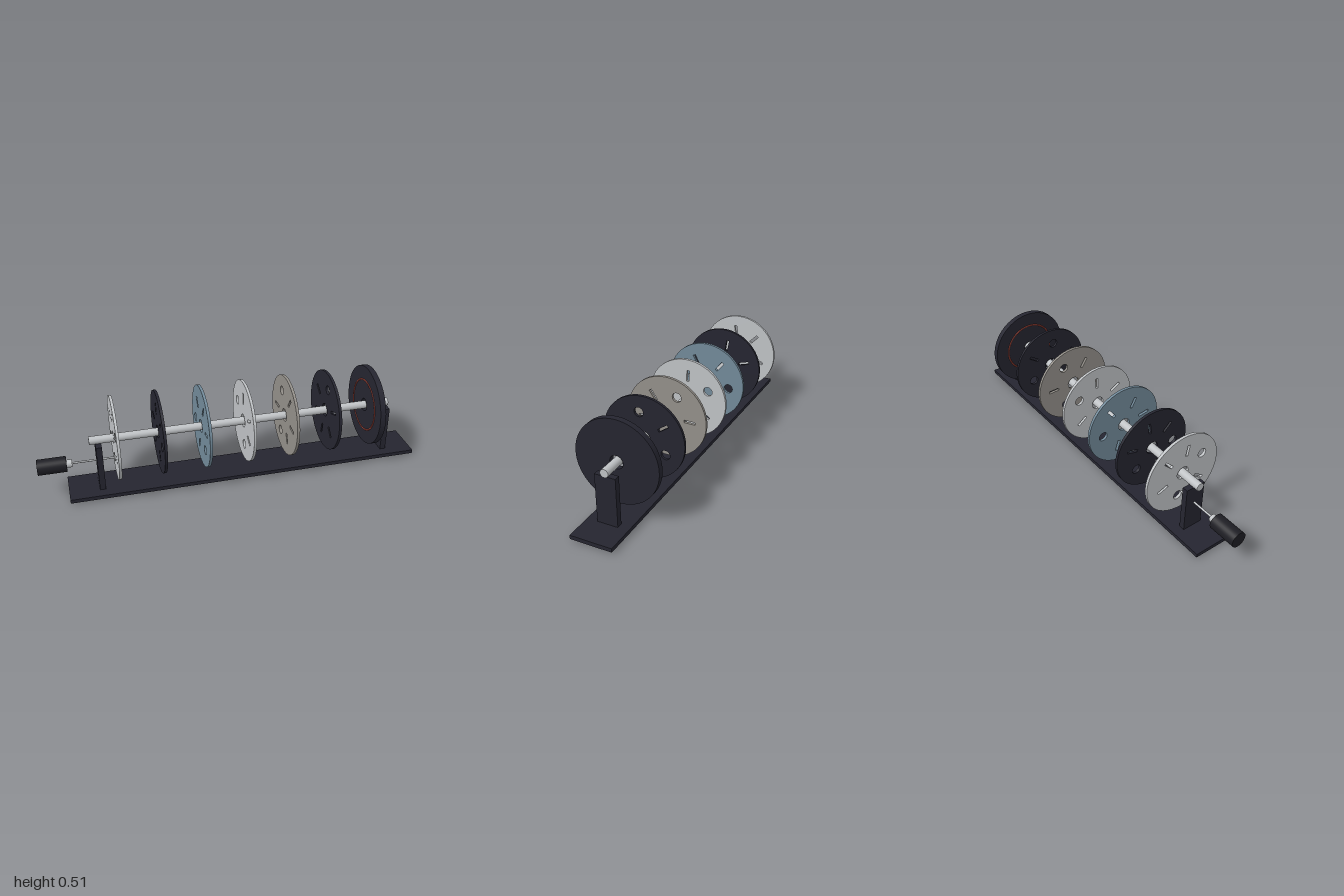
import * as THREE from 'three';

const AXLE_Y = 0.297, DISC_R = 0.213;

function mat(name, color) {
  const m = new THREE.MeshStandardMaterial({ color });
  m.name = name;
  return m;
}

// Disc lying across the x axis, pierced by the given hole paths
function discGeometry(radius, thickness, holes) {
  const shape = new THREE.Shape().absarc(0, 0, radius, 0, Math.PI * 2, false);
  shape.holes.push(...holes);
  const geo = new THREE.ExtrudeGeometry(shape, { depth: thickness, bevelEnabled: false, curveSegments: 40 });
  geo.translate(0, 0, -thickness / 2);
  return geo.rotateY(Math.PI / 2);
}

// Angles are measured from +z towards +y
function roundHole(dist, angle, radius) {
  return new THREE.Path().absarc(-Math.cos(angle) * dist, Math.sin(angle) * dist, radius, 0, Math.PI * 2, true);
}

// Radial slot between two distances from the axle
function slot(inner, outer, width, angle) {
  const c = -Math.cos(angle), s = Math.sin(angle), w = width / 2;
  return new THREE.Path([
    [inner, -w], [outer, -w], [outer, w], [inner, w],
  ].map(([r, t]) => new THREE.Vector2(c * r - s * t, s * r + c * t)));
}

export function createModel() {
  const dark = mat('darkSlate', 0x252530);
  const black = mat('motorBlack', 0x1e1e24);
  const silver = mat('silver', 0xc0c3c6);
  const blue = mat('blueGrey', 0x728a9a);
  const warm = mat('warmGrey', 0x94908a);
  const red = mat('redRing', 0xb04a3c);

  const model = new THREE.Group();
  const add = (name, geo, material, x, y) => {
    const mesh = new THREE.Mesh(geo, material);
    mesh.name = name;
    mesh.position.set(x, y, 0);
    model.add(mesh);
    return mesh;
  };
  const rod = (name, x0, x1, y, r, material) =>
    add(name, new THREE.CylinderGeometry(r, r, x1 - x0, 32).rotateZ(Math.PI / 2), material, (x0 + x1) / 2, y);

  // Base plate and end posts, which pass through the plate
  add('base', new THREE.BoxGeometry(1.86, 0.02, 0.213), dark, 0.07, 0.02);
  for (const x of [-0.691, 0.846]) {
    add('post', new THREE.BoxGeometry(0.03, 0.279, 0.106), dark, x, 0.1405);
  }

  // Axle
  rod('axle', -0.735, 0.865, AXLE_Y, 0.021, silver);

  // Coding discs, each turned one step further than the last
  const colors = [silver, dark, blue, silver, warm, dark];
  const rad = THREE.MathUtils.degToRad;
  colors.forEach((color, i) => {
    const turn = 260 - 36 * i;
    const holes = [roundHole(0, 0, 0.034)];
    for (const a of [0, 130]) holes.push(roundHole(0.13, rad(turn + a), 0.024));
    for (const a of [65, 180, 235, 300]) holes.push(slot(0.095, 0.155, 0.014, rad(turn + a)));
    add('codeDisc', discGeometry(DISC_R, 0.014, holes), color, -0.606 + 0.2243 * i, AXLE_Y);
  });

  // Thick end disc with a raised ring on its inner face
  add('endDisc', discGeometry(DISC_R, 0.03, [roundHole(0, 0, 0.034)]), dark, 0.748, AXLE_Y);
  add('endDiscRing', new THREE.TorusGeometry(0.138, 0.004, 8, 64).rotateY(Math.PI / 2), red, 0.733, AXLE_Y);

  // Drive motor with collar and thin shaft
  rod('motor', -1, -0.855, 0.18, 0.04, black);
  rod('motorCollar', -0.855, -0.828, 0.18, 0.02, silver);
  rod('driveShaft', -0.828, -0.605, 0.18, 0.005, silver);

  return model;
}
